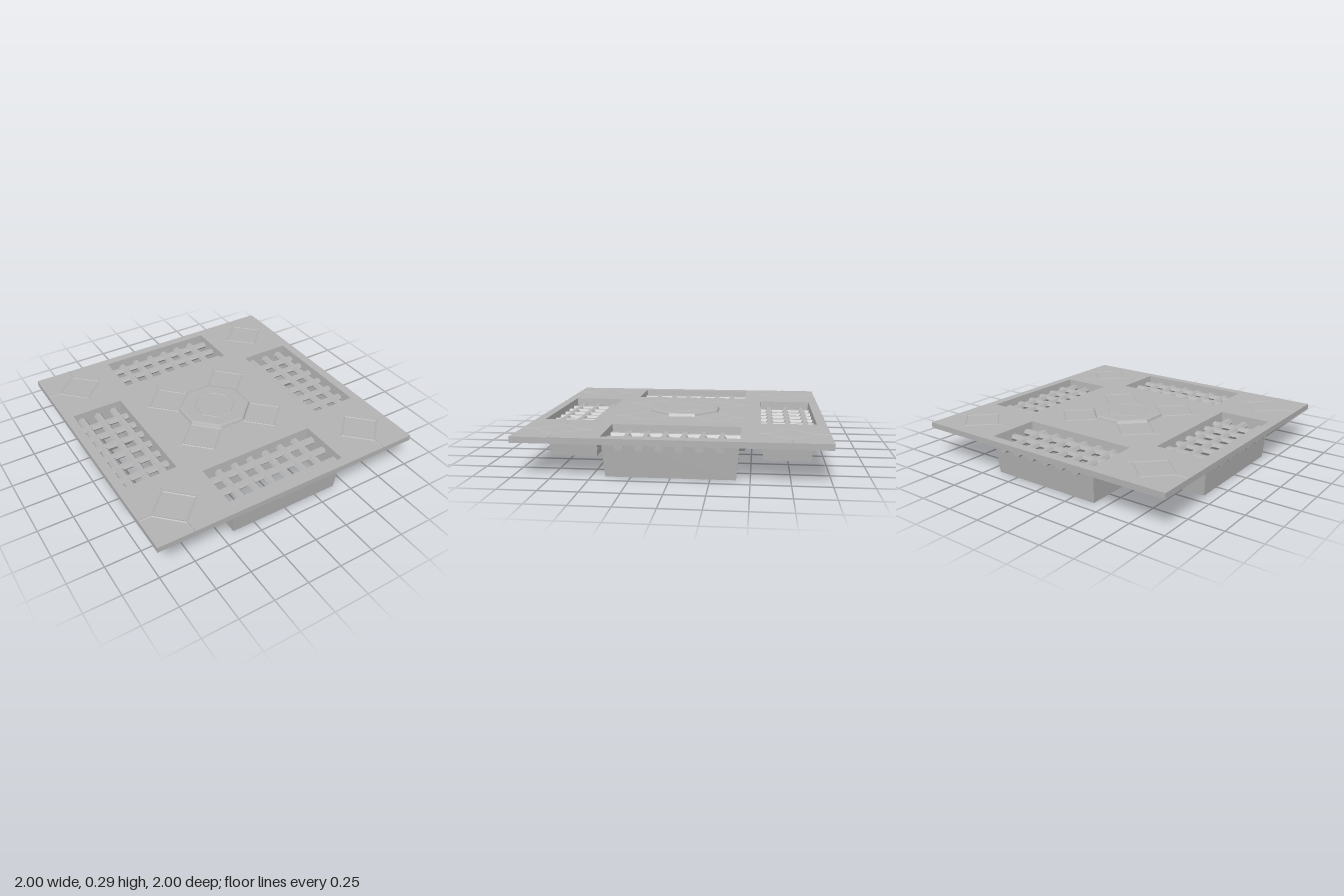
import * as THREE from 'three';
import { mergeGeometries } from 'three/addons/utils/BufferGeometryUtils.js';

const TOP = 0.265;

// Closed rings of [x, z] points, running from +x towards +z
const rectRing = (hx, z0, z1) => [[hx, z0], [hx, z1], [-hx, z1], [-hx, z0]];
const octRing = (f, c) => [[f, -c], [f, c], [c, f], [-c, f], [-f, c], [-f, -c], [-c, -f], [c, -f]];
const turn = (p, q) => { // quarter turns about the y axis
  let [x, z] = p;
  for (let i = 0; i < q; i++) [x, z] = [-z, x];
  return [x, z];
};

// Open band of flat faces between two rings
function loft(lower, y0, upper, y1) {
  const pos = [];
  lower.forEach((a, i) => {
    const j = (i + 1) % lower.length;
    const b = lower[j], A = upper[i], B = upper[j];
    pos.push(a[0], y0, a[1], A[0], y1, A[1], B[0], y1, B[1]);
    pos.push(a[0], y0, a[1], B[0], y1, B[1], b[0], y0, b[1]);
  });
  const g = new THREE.BufferGeometry();
  g.setAttribute('position', new THREE.Float32BufferAttribute(pos, 3));
  g.computeVertexNormals();
  return g;
}

// Flat horizontal plate with holes
function plate(ring, holes, y) {
  const pts = (r) => r.map(([x, z]) => new THREE.Vector2(x, -z));
  const shape = new THREE.Shape(pts(ring));
  holes.forEach((h) => shape.holes.push(new THREE.Path(pts(h))));
  return new THREE.ShapeGeometry(shape).rotateX(-Math.PI / 2).translate(0, y, 0);
}

// Low crease running from a to b; the end at b may taper to a point
function ridge(a, b, y, tip = 0.008) {
  const dx = b[0] - a[0], dz = b[1] - a[1];
  return new THREE.CylinderGeometry(tip, 0.008, Math.hypot(dx, dz), 4)
    .rotateX(Math.PI / 2)
    .scale(1, 0.5, 1)
    .rotateY(Math.atan2(dx, dz))
    .translate((a[0] + b[0]) / 2, y, (a[1] + b[1]) / 2);
}

const ringRidges = (ring, y) => ring.map((p, i) => ridge(p, ring[(i + 1) % ring.length], y));

// Six-sided grate bar lying along z
function bar(x, z0, z1) {
  return new THREE.CylinderGeometry(0.03, 0.03, z1 - z0, 6)
    .rotateY(Math.PI / 6)
    .rotateX(Math.PI / 2)
    .scale(1, 0.77, 1)
    .translate(x, 0.204, (z0 + z1) / 2);
}

export function createModel() {
  const model = new THREE.Group();
  const grey = new THREE.MeshStandardMaterial({
    color: 0xb2b2b2, side: THREE.DoubleSide, flatShading: true,
  });
  grey.name = 'stone grey';
  const add = (name, geos) => {
    const mesh = new THREE.Mesh(mergeGeometries(geos.map((g) => g.index ? g.toNonIndexed() : g).map((g) => {
      g.deleteAttribute('uv');
      return g;
    })), grey);
    mesh.name = name;
    model.add(mesh);
  };
  const quarters = [0, 1, 2, 3];

  // Floor sheet with a short rim, four grate openings and the centre opening
  const outer = rectRing(1, -1, 1);
  const opening = rectRing(0.435, 0.56, 0.935);
  const medallion = octRing(0.25, 0.095);
  const openings = quarters.map((q) => opening.map((p) => turn(p, q)));
  add('floorPlate', [plate(outer, [...openings, medallion], TOP)]);
  add('floorRim', [loft(outer, 0.225, outer, TOP)]);

  // Tapered shafts below the openings
  const foot = rectRing(0.412, 0.583, 0.912);
  quarters.forEach((q) => {
    add('shaft', [loft(foot.map((p) => turn(p, q)), 0, openings[q], TOP)]);
  });

  // Grate: long bars run right through, short bars cross each shaft
  const bars = [];
  for (const s of [-1, 1]) {
    for (const x of [0.0625, 0.1875, 0.3125]) bars.push(bar(s * x, -0.97, 0.97));
    for (const x of [0.625, 0.75, 0.875]) bars.push(bar(s * x, -0.465, 0.465));
  }
  add('grateBarsLengthwise', bars);
  add('grateBarsCrosswise', bars.map((g) => g.clone().rotateY(Math.PI / 2)));

  // Raised octagonal centre with a bevelled edge and an inner crease
  const shoulder = octRing(0.242, 0.092), crown = octRing(0.226, 0.087);
  add('centreOctagon', [
    loft(medallion, TOP, shoulder, 0.283),
    loft(shoulder, 0.283, crown, 0.288),
    plate(crown, [], 0.288),
  ]);
  add('innerOctagonCrease', ringRidges(octRing(0.14, 0.055), 0.287));

  // Diamond creases round the centre and in the corners, with pointed tails
  const creases = [];
  for (const q of quarters) {
    const line = (a, b, tip) => creases.push(ridge(turn(a, q), turn(b, q), TOP, tip));
    for (const c of [0.25, 0.75]) {
      const r = 0.16;
      const d = [[c + r, c], [c, c + r], [c - r, c], [c, c - r]];
      d.forEach((p, i) => line(p, d[(i + 1) % 4]));
    }
    line([0.41, 0.25], [0.485, 0.25], 0.001);
    line([0.25, 0.41], [0.25, 0.485], 0.001);
    line([0.59, 0.75], [0.515, 0.75], 0.001);
    line([0.75, 0.59], [0.75, 0.515], 0.001);
    line([0.91, 0.75], [1, 0.75]);
    line([0.75, 0.91], [0.75, 1]);
  }
  add('diamondCreases', creases);

  return model;
}
